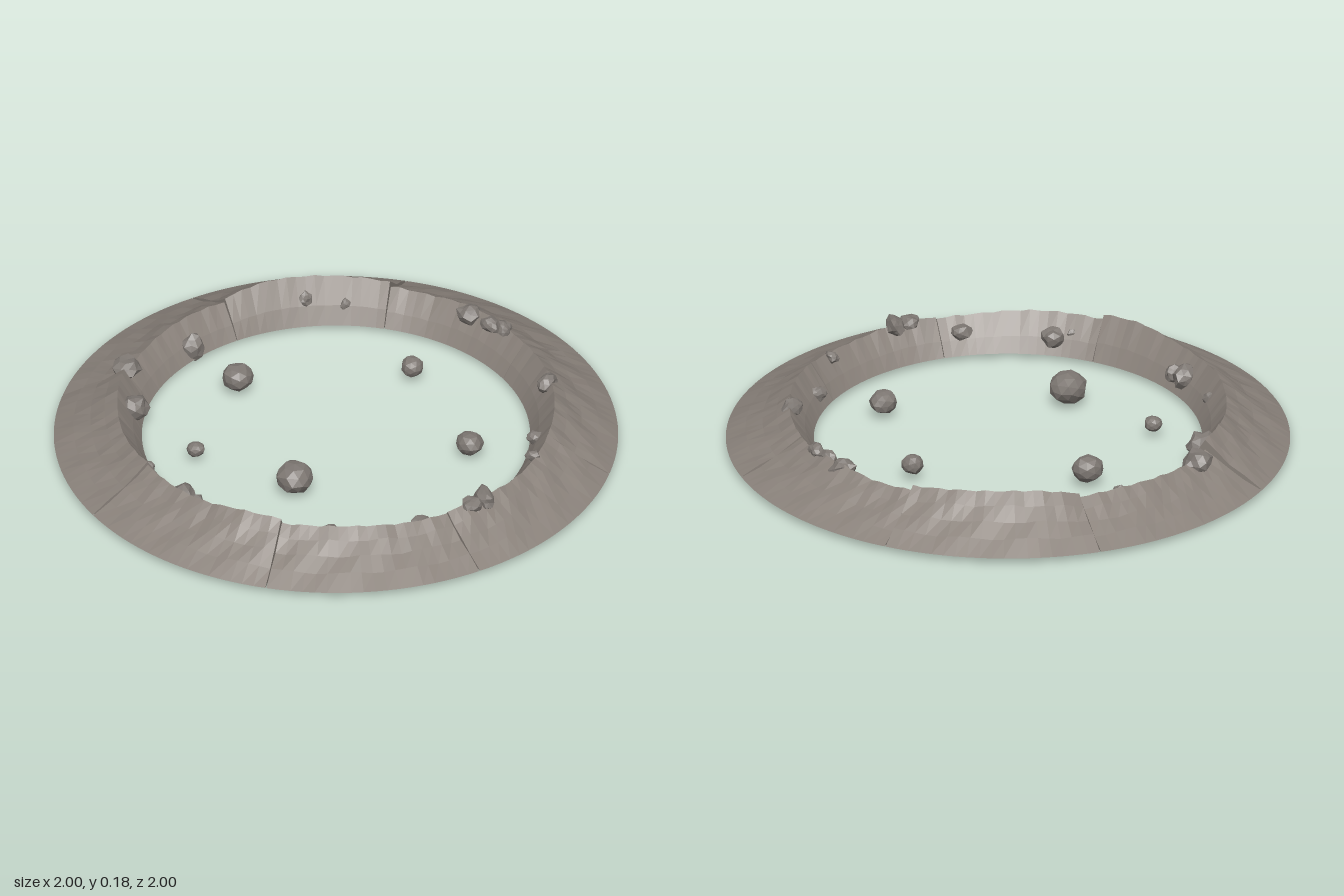
import * as THREE from 'three';

const BASE = 0.035;
const GAP = 0.002;
const STEPS = 18;

// Cross-section from outer foot over the crest to the inner foot: [radius, share of rim height]
const PROFILE = [[1, 0], [0.93, 0.27], [0.87, 0.51], [0.82, 0.76], [0.775, 1], [0.72, 0.42], [0.688, 0]];

// Crest heights of the eight 45 degree sections, starting at +x and turning towards +z
const CRESTS = [
  [0.16, 0.165, 0.17, 0.172, 0.166],
  [0.165, 0.153, 0.152, 0.162, 0.158],
  [0.152, 0.155, 0.165, 0.168, 0.165],
  [0.185, 0.188, 0.172, 0.168, 0.172],
  [0.184, 0.17, 0.166, 0.182, 0.187],
  [0.147, 0.143, 0.15, 0.155, 0.15],
  [0.165, 0.19, 0.192, 0.187, 0.178],
  [0.16, 0.158, 0.17, 0.165, 0.155],
];

// x, y, z, radius, vertical stretch
const FLOOR_ROCKS = [
  [-0.3, 0.086, 0.22, 0.07, 0.8], [-0.15, 0.083, -0.43, 0.056, 0.85], [-0.5, 0.07, -0.13, 0.033, 0.85],
  [0.42, 0.077, -0.18, 0.041, 0.9], [0.35, 0.077, 0.34, 0.052, 0.8],
];
const RIM_ROCKS = [
  [-0.5, 0.135, -0.61, 0.055, 0.8], [-0.58, 0.1, -0.42, 0.05, 1.1], [-0.185, 0.07, -0.69, 0.042, 1.2],
  [0.22, 0.12, -0.72, 0.021, 1], [0.28, 0.12, -0.69, 0.032, 0.8], [0.4, 0.1, -0.61, 0.022, 1],
  [0.71, 0.145, -0.27, 0.053, 0.7], [0.74, 0.15, -0.17, 0.04, 0.7], [0.76, 0.16, -0.12, 0.04, 0.65],
  [0.72, 0.155, 0.25, 0.048, 0.7], [0.56, 0.09, 0.45, 0.034, 0.8], [0.45, 0.145, 0.61, 0.03, 0.7],
  [0.16, 0.158, 0.76, 0.055, 0.6], [0.1, 0.155, 0.775, 0.036, 0.7], [-0.08, 0.107, 0.73, 0.036, 0.8],
  [-0.38, 0.09, 0.61, 0.042, 0.9], [-0.45, 0.1, 0.6, 0.025, 1], [-0.71, 0.1, 0.14, 0.048, 0.9],
  [-0.69, 0.09, 0.19, 0.036, 0.9], [-0.73, 0.105, -0.07, 0.021, 1.1],
];

function seeded(seed) {
  let s = seed * 7919 + 17;
  return () => (s = (s * 16807) % 2147483647) / 2147483647;
}

// One hollow, open-bottomed section of the ring with closed ends
function sectionGeometry(k) {
  const rows = PROFILE.length;
  const curve = new THREE.CatmullRomCurve3(CRESTS[k].map((h, i) => new THREE.Vector3(i / 4, h, 0)));
  const positions = [], index = [];
  for (let i = 0; i <= STEPS; i++) {
    const t = i / STEPS;
    const a = k * Math.PI / 4 + GAP + t * (Math.PI / 4 - 2 * GAP);
    const crest = curve.getPoint(t).y + 0.003 * Math.sin(i * 2.3 + k * 1.7);
    PROFILE.forEach(([r, f], j) => {
      const bump = j > 0 && j < 4 ? 0.004 * Math.sin(i * 1.1 + j * 2.1 + k * 3) : 0;
      positions.push(r * Math.cos(a), BASE + (crest - BASE) * f + bump, r * Math.sin(a));
    });
  }
  for (let i = 0; i < STEPS; i++) {
    for (let j = 0; j < rows - 1; j++) {
      const p = i * rows + j, q = p + rows;
      index.push(p, p + 1, q, p + 1, q + 1, q);
    }
  }
  // End faces
  const end = STEPS * rows, last = rows - 1;
  for (let j = 0; j < last - 1; j++) {
    index.push(last, j + 1, j, end + last, end + j, end + j + 1);
  }
  const g = new THREE.BufferGeometry();
  g.setAttribute('position', new THREE.Float32BufferAttribute(positions, 3));
  g.setIndex(index);
  g.computeVertexNormals();
  return g;
}

// Rounded stone with a chipped, faceted surface
function rockGeometry(seed, radius, stretch, rough) {
  const rnd = seeded(seed), g = new THREE.IcosahedronGeometry(1, 1);
  const p = g.attributes.position, v = new THREE.Vector3(), scales = new Map();
  const wide = 1 - rnd() * rough;
  for (let i = 0; i < p.count; i++) {
    v.fromBufferAttribute(p, i);
    const key = [v.x, v.y, v.z].map(c => Math.round(c * 100)).join();
    if (!scales.has(key)) scales.set(key, 1 + (rnd() - 0.5) * rough);
    v.multiplyScalar(scales.get(key) * radius);
    p.setXYZ(i, v.x, v.y * stretch, v.z * wide);
  }
  g.computeVertexNormals();
  return g;
}

export function createModel() {
  const group = new THREE.Group();
  const ground = new THREE.MeshStandardMaterial({ color: 0x8a827b, flatShading: true, side: THREE.DoubleSide });
  ground.name = 'warm grey earth';
  const stone = new THREE.MeshStandardMaterial({ color: 0x7e7873, flatShading: true });
  stone.name = 'grey stone';

  // Raised ring
  const ring = new THREE.Group();
  ring.name = 'craterRing';
  CRESTS.forEach((_, k) => {
    const section = new THREE.Mesh(sectionGeometry(k), ground);
    section.name = 'ringSection' + (k + 1);
    ring.add(section);
  });
  group.add(ring);

  // Loose stones
  const addRocks = (name, list, rough, seed) => {
    const rocks = new THREE.Group();
    rocks.name = name + 's';
    list.forEach(([x, y, z, r, stretch], i) => {
      const rock = new THREE.Mesh(rockGeometry(seed + i, r, stretch, rough), stone);
      rock.name = name + (i + 1);
      rock.position.set(x, y, z);
      rock.rotation.y = (seed + i) * 2.4;
      rocks.add(rock);
    });
    group.add(rocks);
  };
  addRocks('floorRock', FLOOR_ROCKS, 0.14, 3);
  addRocks('rimRock', RIM_ROCKS, 0.4, 20);

  return group;
}
